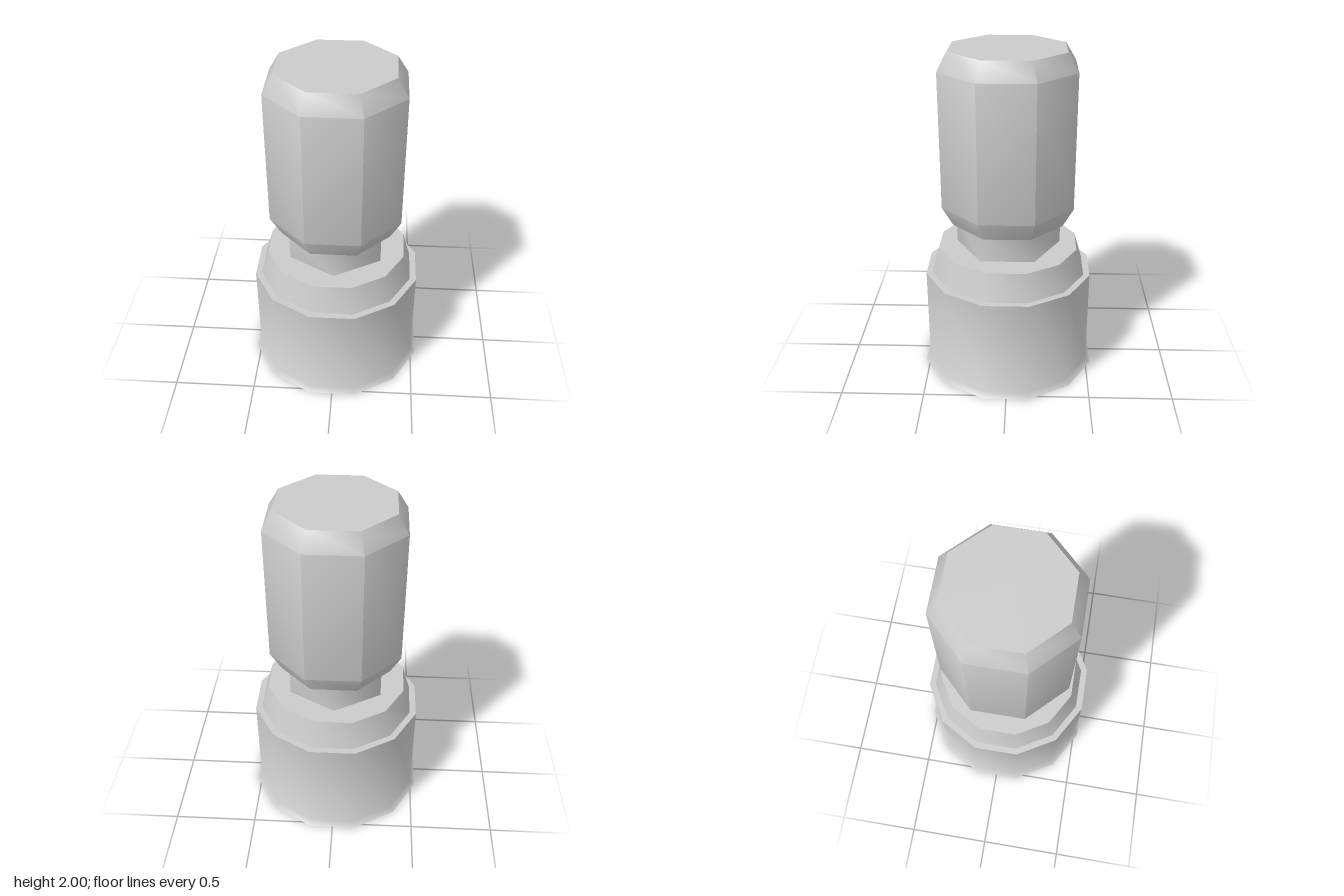
import * as THREE from 'three';
import { toCreasedNormals } from 'three/addons/utils/BufferGeometryUtils.js';

const material = new THREE.MeshStandardMaterial({ color: 0xcccccc, side: THREE.DoubleSide });

// Many-sided turned part; radii in the profile are measured across the flats.
function turned(name, sides, start, profile, crease) {
  const k = 1 / Math.cos(Math.PI / sides);
  const points = profile.map(([r, y]) => new THREE.Vector2(r * k, y));
  const lathe = new THREE.LatheGeometry(points, sides, start);
  const mesh = new THREE.Mesh(toCreasedNormals(lathe, THREE.MathUtils.degToRad(crease)), material);
  mesh.name = name;
  return mesh;
}

export function createModel() {
  const model = new THREE.Group();
  model.name = 'steppedPost';

  // Twelve-sided skirt, open underneath, with a flared foot, a ledge and a tapered collar
  model.add(turned('base', 12, Math.PI / 12, [
    [0.527, 0], [0.5, 0.03], [0.5, 0.635], [0.462, 0.635], [0.415, 0.8], [0, 0.8],
  ], 50));

  // Six-sided neck with corners to front and back
  model.add(turned('neck', 6, 0, [[0.274, 0.8], [0.274, 0.97]], 65));

  // Eight-sided head with chamfered ends
  model.add(turned('head', 8, Math.PI / 8, [
    [0, 0.97], [0.325, 0.97], [0.386, 1.09], [0.386, 1.895], [0.325, 2], [0, 2],
  ], 50));

  return model;
}
